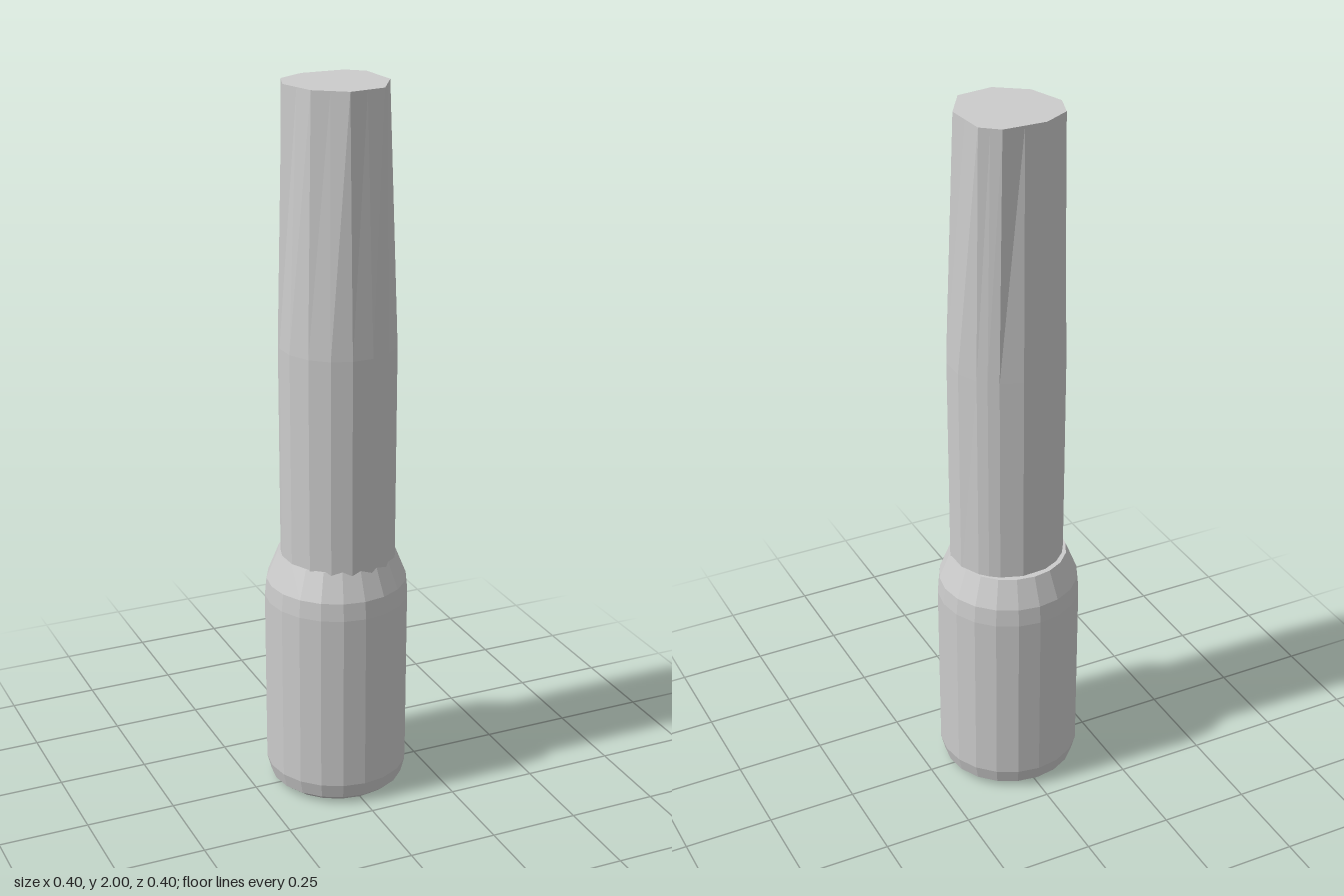
import * as THREE from 'three';

const SIDES = 20;
const DRIVE = 0.11; // half diagonal of the square drive hole
const DEPTH = 0.36;

const material = (side = THREE.FrontSide) =>
  new THREE.MeshStandardMaterial({ color: 0xcccccc, flatShading: true, side });

// Skin a stack of closed rings (each a list of Vector3, clockwise from above) and cap the top
function loft(rings) {
  const n = rings[0].length;
  const pos = rings.flat().flatMap((p) => [p.x, p.y, p.z]);
  const index = [];
  for (let r = 0; r < rings.length - 1; r++) {
    for (let i = 0; i < n; i++) {
      const a = r * n + i, b = r * n + (i + 1) % n;
      index.push(a, a + n, b, b, a + n, b + n);
    }
  }
  const top = (rings.length - 1) * n;
  for (let i = 1; i < n - 1; i++) index.push(top, top + i + 1, top + i);
  const geo = new THREE.BufferGeometry();
  geo.setAttribute('position', new THREE.Float32BufferAttribute(pos, 3));
  geo.setIndex(index);
  geo.computeVertexNormals();
  return geo;
}

// Rounded shank that tapers into a faceted tip
function shankGeometry() {
  const tip = [
    [0.138, 0.03], [0.078, 0.127], [-0.024, 0.141], [-0.106, 0.082], [-0.14, -0.02],
    [-0.115, -0.093], [-0.04, -0.134], [0.081, -0.132], [0.128, -0.093],
  ];
  const top = tip.flatMap(([x, z], i) => {
    const [x2, z2] = tip[(i + 1) % tip.length];
    return [new THREE.Vector3(x, 2, z), new THREE.Vector3((x + x2) / 2, 2, (z + z2) / 2)];
  });
  const ring = (y, rx, rz) => top.map((p) => {
    const a = Math.atan2(p.z, p.x);
    return new THREE.Vector3(0.002 + rx * Math.cos(a), y, 0.009 + rz * Math.sin(a));
  });
  return loft([ring(0.66, 0.16, 0.157), ring(1.3, 0.162, 0.157), top]);
}

export function createModel() {
  const model = new THREE.Group();
  const add = (name, geometry, mat = material()) => {
    const mesh = new THREE.Mesh(geometry, mat);
    mesh.name = name;
    model.add(mesh);
    return mesh;
  };

  // Socket body with rounded lower rim and sloping shoulder
  const profile = [
    [0.165, 0], [0.188, 0.018], [0.199, 0.06], [0.2, 0.57],
    [0.195, 0.62], [0.163, 0.7], [0.13, 0.7],
  ].map(([r, y]) => new THREE.Vector2(r, y));
  add('socketBody', new THREE.LatheGeometry(profile, SIDES));

  add('shank', shankGeometry());

  // Bottom face with the square opening
  const polygon = (r, n) => Array.from({ length: n }, (_, i) => {
    const a = (i / n) * Math.PI * 2;
    return new THREE.Vector2(r * Math.cos(a), r * Math.sin(a));
  });
  const face = new THREE.Shape(polygon(0.165, SIDES));
  face.holes.push(new THREE.Path(polygon(DRIVE, 4)));
  add('bottomFace', new THREE.ShapeGeometry(face).rotateX(Math.PI / 2));

  // Square drive hole: inner walls and its closed end
  const walls = add('driveHoleWalls',
    new THREE.CylinderGeometry(DRIVE, DRIVE, DEPTH, 4, 1, true), material(THREE.BackSide));
  walls.position.y = DEPTH / 2;
  const end = add('driveHoleEnd', new THREE.CircleGeometry(DRIVE, 4).rotateX(Math.PI / 2));
  end.position.y = DEPTH;

  return model;
}
